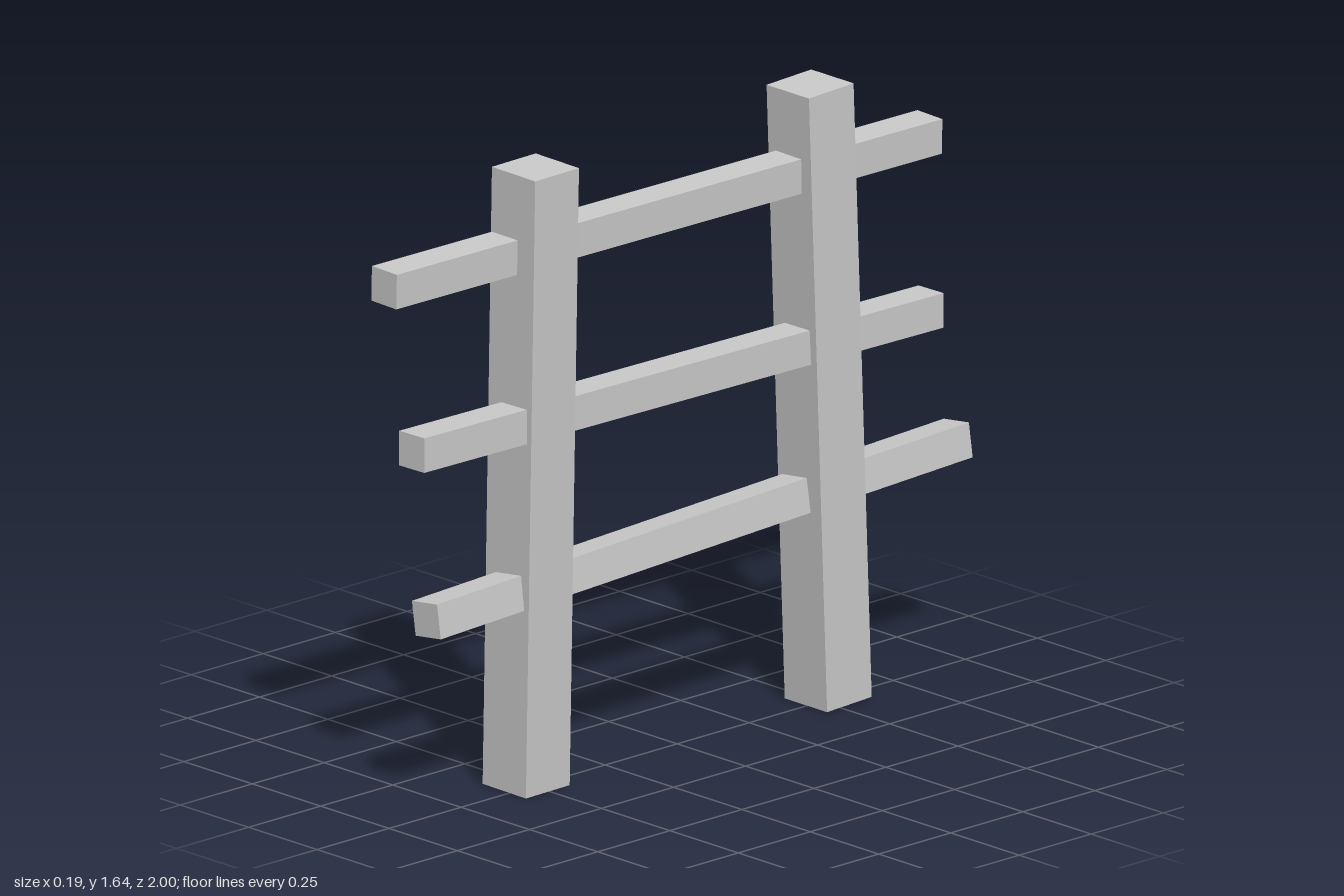
import * as THREE from 'three';

const material = new THREE.MeshStandardMaterial({ color: 0xcccccc, flatShading: true });

// Square timber running from one end centre to the other, rolled about its length
function beam(name, size, from, to, roll = 0) {
  const a = new THREE.Vector3(...from);
  const b = new THREE.Vector3(...to);
  const dir = b.clone().sub(a);
  const mesh = new THREE.Mesh(new THREE.BoxGeometry(size, size, dir.length()), material);
  mesh.name = name;
  mesh.position.copy(a).add(b).multiplyScalar(0.5);
  mesh.quaternion.setFromUnitVectors(new THREE.Vector3(0, 0, 1), dir.normalize());
  mesh.rotateZ(roll);
  return mesh;
}

export function createModel() {
  const fence = new THREE.Group();
  fence.name = 'fence';

  // Posts: the front one leans sideways, the back one leans along the fence
  fence.add(
    beam('frontPost', 0.155, [-0.018, 0.002, 0.507], [0.016, 1.643, 0.507]),
    beam('backPost', 0.155, [-0.003, 0.004, -0.527], [-0.003, 1.642, -0.464]),
  );

  // Rails: back end to front end, each slightly crooked
  fence.add(
    beam('topRail', 0.092, [-0.004, 1.422, -0.88], [-0.018, 1.427, 1], -0.02),
    beam('middleRail', 0.091, [0.001, 0.961, -0.88], [0.024, 0.99, 0.944], 0.01),
    beam('bottomRail', 0.091, [-0.026, 0.58, -1], [0.01, 0.527, 0.88], 0.12),
  );
  return fence;
}
